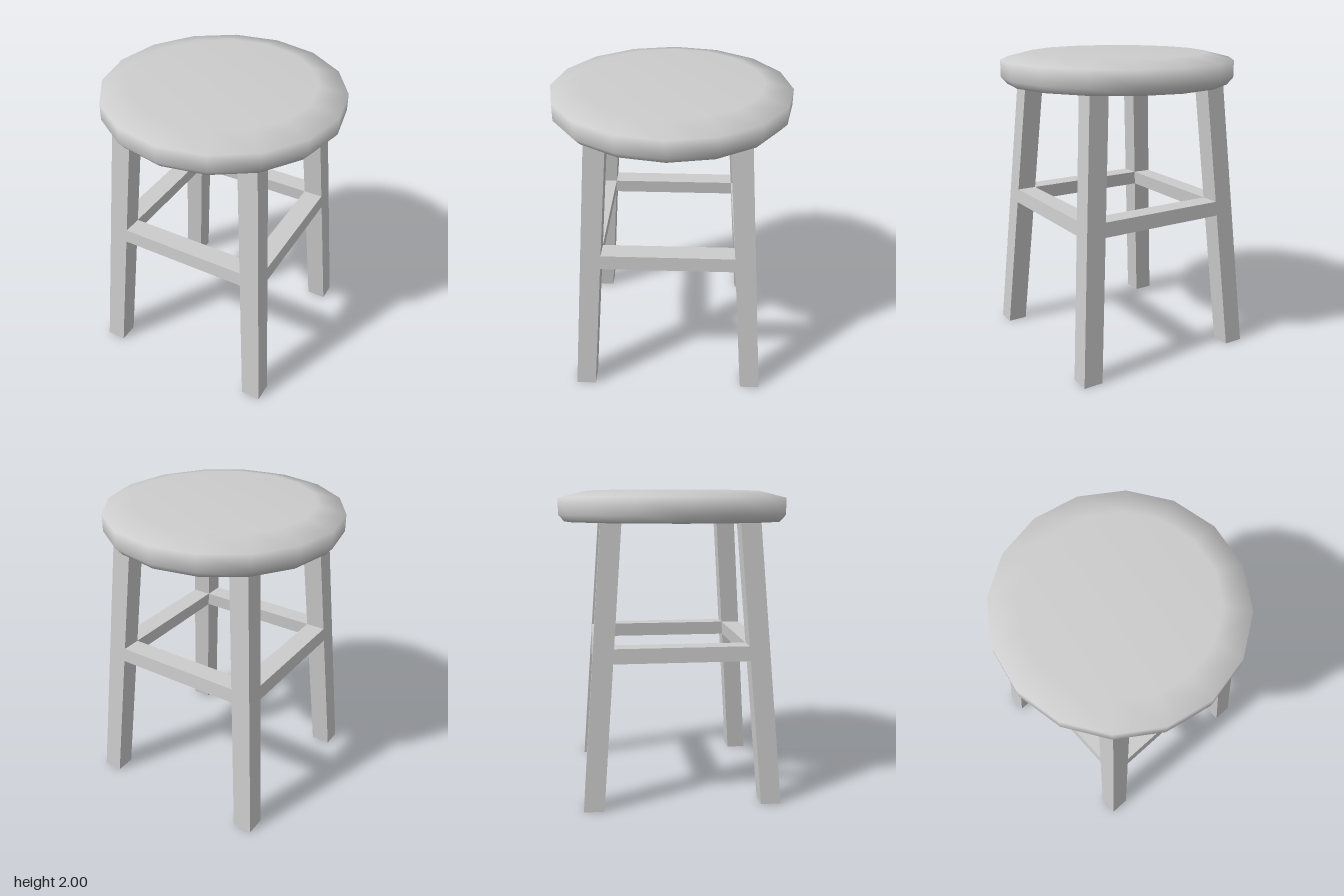
import * as THREE from 'three';

const LEAN = 0.135 / 1.8; // inward lean of the legs per unit of height
const FOOT = 0.57; // leg centre at the floor
const THICK = 0.13; // leg and rail width

// Box between two heights whose vertices are shifted by a rule of height
function leaningBox(width, y0, y1, depth, shift) {
  const geo = new THREE.BoxGeometry(width, y1 - y0, depth);
  geo.translate(0, (y0 + y1) / 2, 0);
  const pos = geo.attributes.position;
  for (let i = 0; i < pos.count; i++) {
    const [x, z] = shift(pos.getX(i), FOOT - LEAN * pos.getY(i), pos.getZ(i));
    pos.setX(i, x);
    pos.setZ(i, z);
  }
  geo.computeVertexNormals();
  return geo;
}

export function createModel() {
  const wood = new THREE.MeshStandardMaterial({ color: 0xcccccc });
  wood.name = 'pale grey';
  const stool = new THREE.Group();
  stool.name = 'stool';

  // Sixteen-sided seat with rounded rims, smooth shaded
  const profile = [[0, 1.8], [0.73, 1.8], [0.77, 1.845], [0.77, 1.955], [0.59, 2], [0, 2]];
  const seat = new THREE.Mesh(
    new THREE.LatheGeometry(profile.map(([r, y]) => new THREE.Vector2(r, y)), 16),
    wood
  );
  seat.name = 'seat';
  stool.add(seat);

  // Legs lean in along both axes; rails follow the lean and end at the legs
  const legGeo = leaningBox(THICK, 0, 1.8, THICK, (x, c, z) => [x + c, z + c]);
  const railGeo = leaningBox(1, 0.935, 1.03, THICK, (x, c, z) => [
    Math.sign(x) * (c - THICK / 2),
    z + c,
  ]);
  const sides = ['front', 'left', 'back', 'right'];
  const corners = ['frontLeft', 'backLeft', 'backRight', 'frontRight'];
  for (let i = 0; i < 4; i++) {
    const leg = new THREE.Mesh(legGeo, wood);
    leg.name = corners[i] + 'Leg';
    const rail = new THREE.Mesh(railGeo, wood);
    rail.name = sides[i] + 'Rail';
    leg.rotation.y = rail.rotation.y = (i * Math.PI) / 2;
    stool.add(leg, rail);
  }
  return stool;
}
